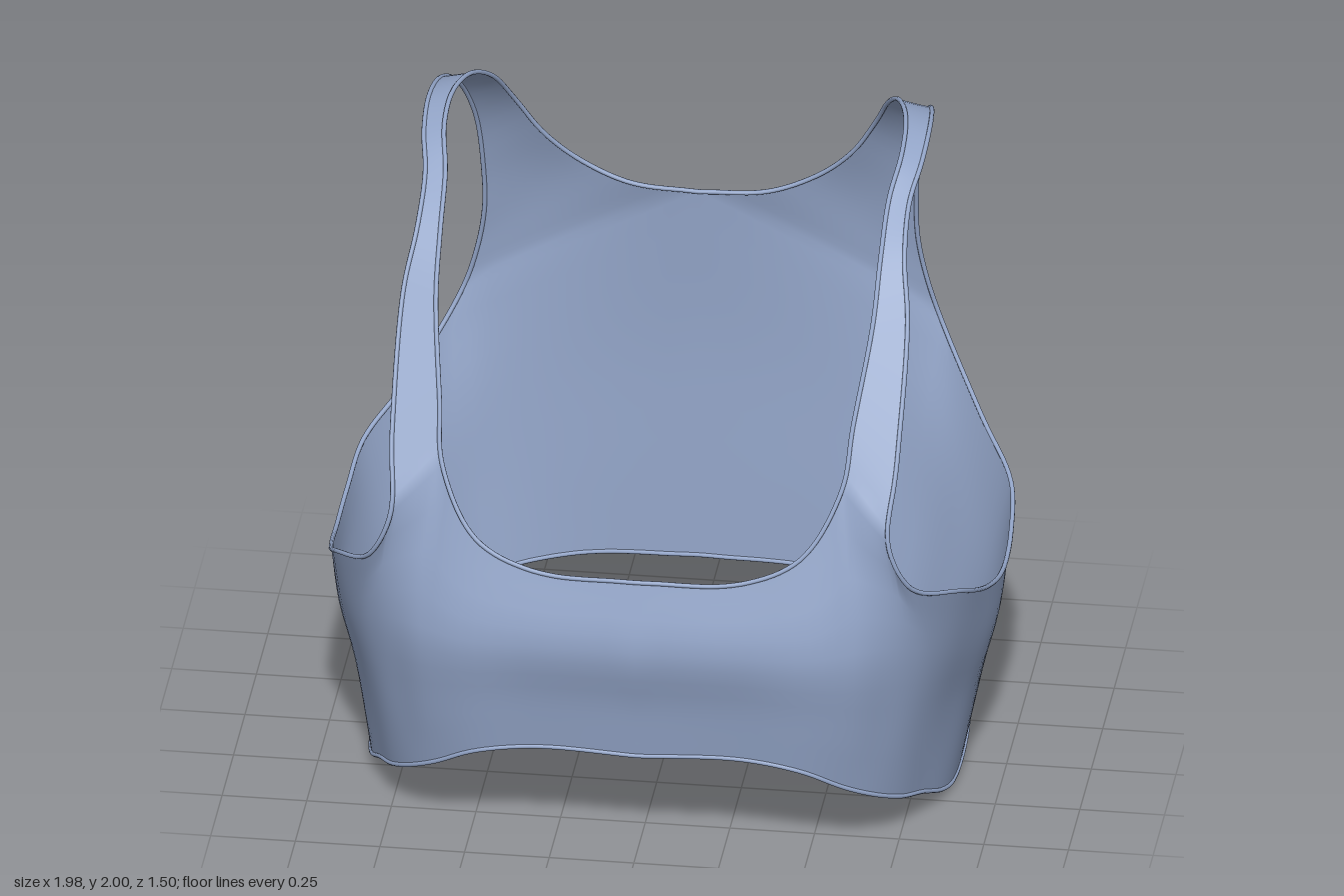
import * as THREE from 'three';
import { mergeGeometries, mergeVertices } from 'three/addons/utils/BufferGeometryUtils.js';

const SUB = 4; // samples between neighbouring control points
const ROWS = 12;
const V = (p) => new THREE.Vector3(...p);
const spline = (pts) => new THREE.CatmullRomCurve3(pts);
const sample = (pts) => spline(pts).getPoints((pts.length - 1) * SUB);

// Horizontal contours of the left half, front centre round to back centre
const hem = [
  [0, .32, .675], [.3, .33, .675], [.48, .3, .67], [.6, .23, .62], [.68, .18, .56], [.75, .13, .47], [.8, .09, .36], [.84, .04, .25],
  [.86, .01, .13], [.87, .03, -.03], [.86, .06, -.2], [.82, .1, -.36], [.74, .145, -.49], [.62, .19, -.61], [.35, .245, -.675], [0, .26, -.68],
].map(V);
const ribs = [
  [0, .5, .705], [.31, .5, .705], [.5, .48, .7], [.63, .45, .655], [.71, .42, .59], [.775, .4, .52], [.825, .37, .42], [.87, .34, .285],
  [.91, .3, .13], [.925, .3, -.05], [.915, .3, -.22], [.87, .35, -.39], [.775, .4, -.53], [.645, .45, -.64], [.37, .5, -.685], [0, .55, -.69],
].map(V);
const bust = [
  [0, .7, .75], [.32, .7, .745], [.52, .7, .73], [.64, .71, .685], [.72, .7, .63], [.785, .68, .57], [.845, .63, .49], [.905, .57, .355],
  [.955, .5, .15], [.97, .48, -.05], [.955, .5, -.25], [.91, .55, -.42], [.805, .62, -.565], [.67, .78, -.675], [.38, .87, -.705], [0, .98, -.7],
].map(V);
const top = [
  [0, .91, .7], [.3, .92, .69], [.48, 1, .66], [.59, 1.19, .57], [.665, 1.12, .61], [.735, 1.05, .63], [.8, .9, .61], [.92, .81, .44],
  [.97, .69, .18], [.985, .63, -.05], [.98, .65, -.25], [.955, .72, -.42], [.85, .83, -.585], [.71, 1.06, -.735], [.355, 1.265, -.718], [0, 1.47, -.68],
].map(V);

// Strap edges between the chest and the back; the inner one runs on to the back of the neck
const strapInner = [
  [.61, 1.35, .48], [.645, 1.6, .3], [.65, 1.75, .17], [.655, 1.87, .02], [.675, 1.95, -.1], [.67, 1.99, -.24],
  [.635, 1.98, -.38], [.585, 1.91, -.5], [.53, 1.78, -.6], [.455, 1.65, -.65], [.35, 1.55, -.68], [.2, 1.485, -.68],
].map(V);
const strapOuter = [
  [.745, 1.25, .525], [.745, 1.6, .28], [.72, 1.75, .16], [.715, 1.86, .02], [.735, 1.93, -.1], [.74, 1.97, -.24],
  [.725, 1.95, -.4], [.69, 1.86, -.54], [.655, 1.7, -.64], [.64, 1.5, -.695], [.64, 1.35, -.72], [.665, 1.2, -.738],
].map(V);

// Surface through a grid of points, rows[v][u]
function gridSurface(rows) {
  const w = rows[0].length, index = [];
  for (let v = 0; v < rows.length - 1; v++) {
    for (let u = 0; u < w - 1; u++) {
      const a = v * w + u, b = a + 1, c = a + w, d = c + 1;
      index.push(a, b, d, a, d, c);
    }
  }
  const g = new THREE.BufferGeometry().setFromPoints(rows.flat());
  g.setIndex(index);
  return g;
}

function mirrored(geometry) {
  const g = geometry.clone().scale(-1, 1, 1);
  g.setIndex(Array.from(g.index.array).reverse());
  return g;
}

const flip = (p) => new THREE.Vector3(-p.x, p.y, p.z);

export function createModel() {
  const group = new THREE.Group();
  const fabric = new THREE.MeshStandardMaterial({ color: 0x93a5c8, side: THREE.DoubleSide });
  fabric.name = 'blue grey fabric';

  // Smooth edge lines: half the neckline, and the whole armhole
  const neckline = sample([...top.slice(0, 4), ...strapInner, top[15]]);
  const holePoints = [...top.slice(5, 14), ...strapOuter.slice().reverse()];
  const armhole = new THREE.CatmullRomCurve3(holePoints, true).getPoints(holePoints.length * SUB);
  const inner = neckline.slice(3 * SUB);
  const outer = armhole.slice(8 * SUB).reverse();
  const chestSeam = sample(top.slice(3, 6));
  const backSeam = sample(top.slice(13));
  const edge = [...neckline.slice(0, 3 * SUB), ...chestSeam, ...armhole.slice(1, 8 * SUB), ...backSeam];

  // Body panel, hem to neckline and armholes
  const contours = [...[hem, ribs, bust].map(sample), edge];
  const columns = edge.map((_, i) => spline(contours.map((c) => c[i])).getPoints(ROWS));
  const bodyRows = Array.from({ length: ROWS + 1 }, (_, v) => columns.map((c) => c[v]));

  // Strap and upper back panel, sharing its end rows with the body
  const across = 2 * SUB, last = inner.length - 1;
  const strapRows = inner.map((p, v) => Array.from({ length: across + 1 }, (_, u) => {
    if (v === 0) return chestSeam[u];
    if (v === last) return backSeam[across - u];
    const point = p.clone().lerp(outer[v], u / across);
    // fullness over the shoulder blade
    point.z -= .012 * Math.sin(Math.PI * u / across) * THREE.MathUtils.smoothstep(v / last, .6, 1);
    return point;
  }));

  const halves = [gridSurface(bodyRows), gridSurface(strapRows)];
  const shell = mergeVertices(mergeGeometries([...halves, ...halves.map(mirrored)]), 1e-4);
  shell.computeVertexNormals();
  const garment = new THREE.Mesh(shell, fabric);
  garment.name = 'garmentShell';
  group.add(garment);

  // Rolled bindings along every open edge
  const binding = (name, pts) => {
    const curve = new THREE.CatmullRomCurve3(pts, true);
    const m = new THREE.Mesh(new THREE.TubeGeometry(curve, pts.length * 2, .007, 8, true), fabric);
    m.name = name;
    group.add(m);
  };
  const loop = (half) => [...half, ...half.slice(1, -1).reverse().map(flip)];
  binding('hemBinding', loop(contours[0]));
  binding('necklineBinding', loop(neckline));
  binding('leftArmholeBinding', armhole.slice(1));
  binding('rightArmholeBinding', armhole.slice(1).map(flip));

  return group;
}
